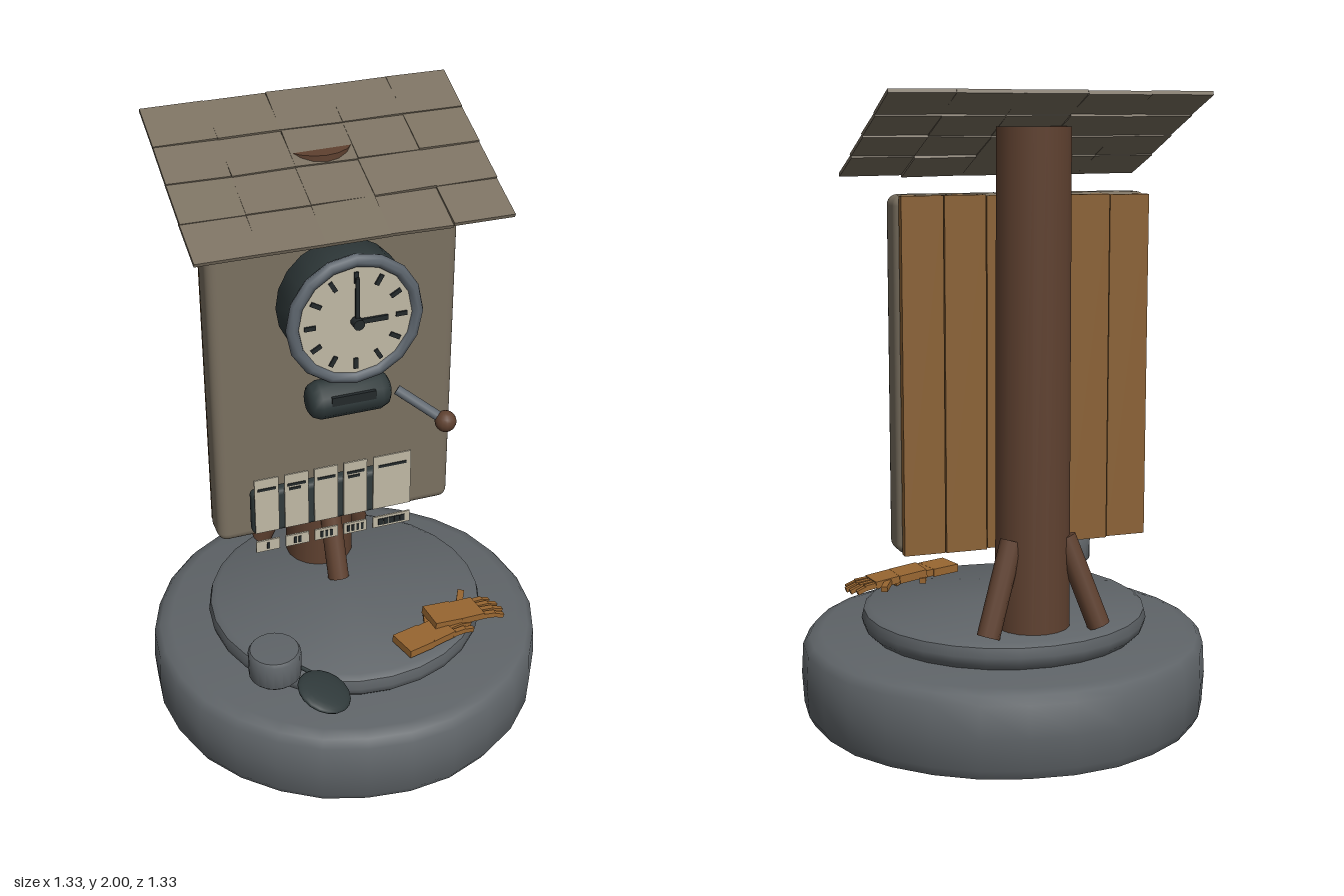
import * as THREE from 'three';
import { toCreasedNormals } from 'three/addons/utils/BufferGeometryUtils.js';
import { RoundedBoxGeometry } from 'three/addons/geometries/RoundedBoxGeometry.js';

const V = (x, y, z) => new THREE.Vector3(x, y, z);

function makeMaterial(name, color) {
  const m = new THREE.MeshStandardMaterial({ color });
  m.name = name;
  return m;
}

export function createModel() {
  const stone = makeMaterial('stone', 0x5f6468);
  const taupe = makeMaterial('taupe', 0x7a7060);
  const cream = makeMaterial('cream', 0xc0b9a5);
  const plankWood = makeMaterial('plankWood', 0x8b6236);
  const darkWood = makeMaterial('darkWood', 0x5f4130);
  const handWood = makeMaterial('handWood', 0x986631);
  const iron = makeMaterial('iron', 0x303a3b);
  const steel = makeMaterial('steel', 0x5d656d);
  const ink = makeMaterial('ink', 0x23292b);

  const root = new THREE.Group();
  root.name = 'timeClockPost';

  let seed = 7;
  const jitter = (a) => {
    seed = (seed * 16807) % 2147483647;
    return (seed / 2147483647 - 0.5) * 2 * a;
  };

  function add(name, geo, mat, pos = [0, 0, 0], rot = [0, 0, 0], parent = root) {
    const mesh = new THREE.Mesh(geo, mat);
    mesh.name = name;
    mesh.position.set(...pos);
    mesh.rotation.set(...rot);
    parent.add(mesh);
    return mesh;
  }
  function group(name, pos = [0, 0, 0], rot = [0, 0, 0]) {
    const g = new THREE.Group();
    g.name = name;
    g.position.set(...pos);
    g.rotation.set(...rot);
    root.add(g);
    return g;
  }
  const box = (w, h, d) => new THREE.BoxGeometry(w, h, d);
  const lathe = (pts, sides) => toCreasedNormals(
    new THREE.LatheGeometry(pts.map(([r, y]) => new THREE.Vector2(r, y)), sides), 0.75);

  // Round bar between two points
  function rod(name, a, b, r, mat, sides = 10) {
    const dir = b.clone().sub(a);
    const mesh = add(name, new THREE.CylinderGeometry(r, r, dir.length(), sides), mat);
    mesh.position.copy(a).add(b).multiplyScalar(0.5);
    mesh.quaternion.setFromUnitVectors(V(0, 1, 0), dir.normalize());
    return mesh;
  }

  // Worn stone base, slightly uneven, with a smaller step on top
  const baseGeo = new THREE.LatheGeometry([[0, 0.005], [0.6, 0.005], [0.64, 0.008], [0.658, 0.04], [0.664, 0.14],
    [0.658, 0.24], [0.638, 0.265], [0.6, 0.275], [0, 0.28]].map(([r, y]) => new THREE.Vector2(r, y)), 28);
  const p = baseGeo.attributes.position;
  for (let i = 0; i < p.count; i++) {
    const a = Math.atan2(p.getX(i), p.getZ(i));
    const k = 1 + 0.006 * Math.sin(a * 7) * Math.cos(a * 3);
    p.setXYZ(i, p.getX(i) * k, p.getY(i), p.getZ(i) * k);
  }
  add('base', toCreasedNormals(baseGeo, 0.75), stone);
  add('baseStep', lathe([[0, 0.275], [0.44, 0.275], [0.46, 0.295], [0.467, 0.32], [0.46, 0.35],
    [0.44, 0.362], [0, 0.365]], 28), stone);

  // Post with three braces
  add('post', new THREE.CylinderGeometry(0.114, 0.118, 1.55, 18), darkWood, [0, 1.125, -0.27]);
  for (let i = 0; i < 3; i++) {
    const a = i * Math.PI * 2 / 3;
    const at = (r, y) => V(Math.sin(a) * r, y, -0.27 + Math.cos(a) * r);
    rod('brace', at(0.21, 0.37), at(0.1, 0.65), 0.036, darkWood, 10);
  }

  // Board with planks on its back
  add('board', new RoundedBoxGeometry(0.82, 1.1, 0.12, 3, 0.032), taupe, [0, 1.15, -0.14]);
  for (let i = 0; i < 6; i++) {
    add('backPlank', box(0.13, 1.09 + jitter(0.008), 0.028), plankWood,
      [-0.334 + i * 0.1336, 1.152, -0.213 + jitter(0.003)]);
  }

  // Sloping roof of overlapping tiles
  const roof = group('roof', [0, 1.873, -0.163], [0.41, 0, 0]);
  for (let r = 0; r < 4; r++) {
    for (let c = 0; c < 5; c++) {
      add('roofTile', box(0.199, 0.012, 0.168), taupe,
        [-0.398 + c * 0.199, jitter(0.002), -0.232 + r * 0.155],
        [-0.03 + jitter(0.015), jitter(0.015), jitter(0.02)], roof);
    }
  }

  // Clock
  const clock = group('clock', [0, 1.47, 0]);
  add('clockBody', lathe([[0, -0.064], [0.195, -0.064], [0.206, -0.05], [0.206, 0.085], [0.19, 0.092], [0, 0.092]], 20),
    iron, [0, 0, 0], [Math.PI / 2, 0, 0], clock);
  add('clockRim', new THREE.TorusGeometry(0.2, 0.021, 8, 16), steel, [0, 0, 0.096], [0, 0, 0], clock);
  add('clockFace', new THREE.CylinderGeometry(0.188, 0.188, 0.008, 24), cream, [0, 0, 0.099], [Math.PI / 2, 0, 0], clock);
  for (let i = 0; i < 12; i++) {
    const a = i * Math.PI / 6;
    add('hourMark', box(0.014, 0.036, 0.006), ink,
      [Math.sin(a) * 0.147, Math.cos(a) * 0.147, 0.106], [0, 0, -a], clock);
  }
  add('minuteHand', box(0.012, 0.15, 0.008), ink, [0, 0.075, 0.117], [0, 0, 0], clock);
  add('hourHand', box(0.1, 0.016, 0.008), ink, [0.05, 0, 0.112], [0, 0, 0], clock);
  add('clockHub', new THREE.CylinderGeometry(0.018, 0.018, 0.03, 10), ink, [0, 0, 0.12], [Math.PI / 2, 0, 0], clock);

  // Punch housing with slot and lever
  add('punchHousing', lathe([[0, -0.135], [0.035, -0.135], [0.052, -0.125], [0.063, -0.1], [0.063, 0.1],
    [0.052, 0.125], [0.035, 0.135], [0, 0.135]], 12), iron, [0, 1.168, 0.032], [0, 0, Math.PI / 2]);
  add('punchSlot', box(0.145, 0.03, 0.03), ink, [0, 1.188, 0.08]);
  rod('lever', V(0.155, 1.17, 0.06), V(0.275, 1.09, 0.15), 0.017, steel);
  add('leverKnob', new THREE.SphereGeometry(0.035, 14, 10), darkWood, [0.284, 1.083, 0.158]);

  // Rack of cards with marks and small tags below
  add('cardRack', new RoundedBoxGeometry(0.54, 0.16, 0.048, 2, 0.018), iron, [-0.065, 0.8, 0.046]);
  [[-0.29, 0.08], [-0.19, 0.08], [-0.09, 0.08], [0.01, 0.08], [0.137, 0.13]].forEach(([x, w], i) => {
    add('card', box(w, 0.205, 0.006), cream, [x, 0.838, 0.076]);
    add('cardLine', box(w * 0.75, 0.009, 0.004), ink, [x, 0.902, 0.08]);
    if (i % 2) add('cardLine', box(w * 0.5, 0.009, 0.004), ink, [x - 0.006, 0.886, 0.08]);
    add('tag', box(w, 0.042, 0.006), cream, [x, 0.68, 0.076]);
    const n = i + 1;
    for (let k = 0; k < n; k++) {
      add('tagMark', box(i === 4 ? 0.017 : 0.009, 0.024, 0.004), ink,
        [x + (k - (n - 1) / 2) * (i === 4 ? 0.019 : 0.016), 0.68, 0.08]);
    }
  });

  // Stone cup with a tilted dark lid
  add('cup', lathe([[0, 0.375], [0.075, 0.375], [0.084, 0.385], [0.085, 0.47], [0.078, 0.481], [0, 0.484]], 20),
    stone, [-0.36, 0, 0.35]);
  const lid = add('lid', new THREE.SphereGeometry(0.09, 18, 12), iron, [-0.24, 0.378, 0.485], [0.17, 0, -0.32]);
  lid.scale.y = 0.24;
  rod('lidHinge', V(-0.29, 0.4, 0.36), V(-0.24, 0.39, 0.42), 0.007, iron, 6);

  // Two jointed wooden hands, one lying across the other
  function hand(name, pos, yaw, pitch, thumbSide) {
    const g = group(name, pos);
    g.rotation.set(0, yaw, pitch);
    add('cuff', box(0.098, 0.027, 0.1), handWood, [0.049, 0, 0], [0, 0, 0], g);
    add('palm', box(0.088, 0.024, 0.095), handWood, [0.141, 0.001, 0], [0, 0.04, 0], g);
    for (let i = 0; i < 4; i++) {
      const len = [0.07, 0.085, 0.09, 0.08][i];
      const z = -0.039 + i * 0.026;
      add('finger', box(len * 0.6, 0.018, 0.018), handWood, [0.18 + len * 0.3, 0, z], [0, -z * 2, 0], g);
      add('fingertip', box(len * 0.5, 0.015, 0.016), handWood,
        [0.18 + len * 0.77, -0.005, z * 1.08], [0, -z * 2, -0.25], g);
    }
    add('thumb', box(0.075, 0.018, 0.022), handWood, [0.155, 0, thumbSide * 0.07], [0, -thumbSide * 1.0, 0], g);
  }
  hand('lowerHand', [0.065, 0.388, 0.375], 0.26, -0.03, -1);
  hand('upperHand', [0.195, 0.405, 0.29], 0.09, -0.12, -1);

  return root;
}
